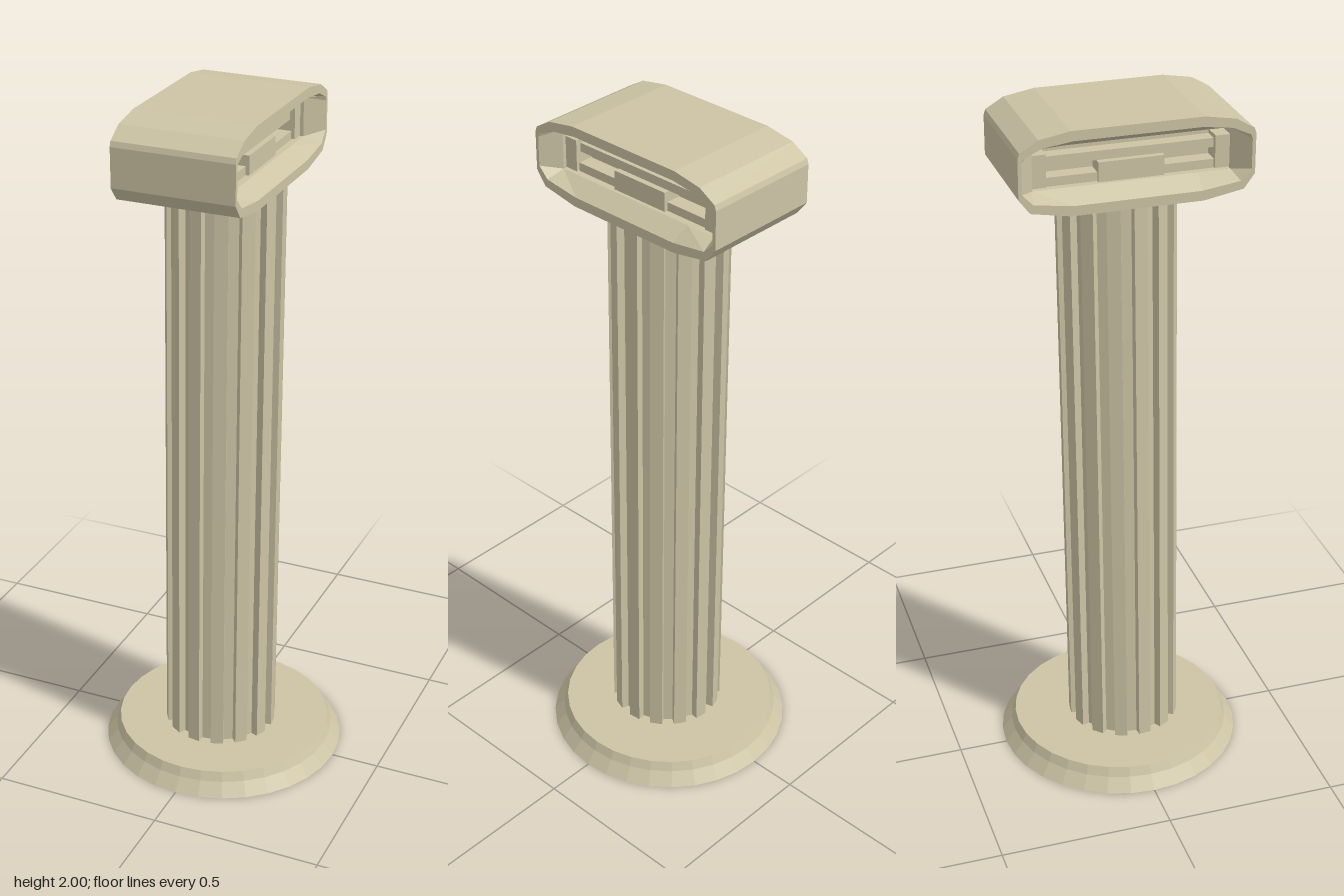
import * as THREE from 'three';

const stone = new THREE.MeshStandardMaterial({ color: 0xcdc4a5, flatShading: true });

function add(parent, name, geometry, x = 0, y = 0, z = 0) {
  const mesh = new THREE.Mesh(geometry, stone);
  mesh.name = name;
  mesh.position.set(x, y, z);
  parent.add(mesh);
  return mesh;
}

// Skin a sequence of closed rings that all have the same number of points.
function loft(rings) {
  const out = [];
  for (let i = 0; i < rings.length - 1; i++) {
    const a = rings[i], b = rings[i + 1], n = a.length;
    for (let j = 0; j < n; j++) {
      const k = (j + 1) % n;
      out.push(...a[j], ...a[k], ...b[j], ...a[k], ...b[k], ...b[j]);
    }
  }
  const g = new THREE.BufferGeometry();
  g.setAttribute('position', new THREE.Float32BufferAttribute(out, 3));
  g.computeVertexNormals();
  return g;
}

// Fluted shaft: square-cut ridges and grooves, leaning slightly backwards.
function shaftGeometry(bottom, top, ridges) {
  const pts = [];
  const step = (Math.PI * 2) / ridges;
  for (let i = 0; i < ridges; i++) {
    [[0.0, 0.165], [0.5, 0.165], [0.53, 0.143], [0.97, 0.143]].forEach(([t, r]) => {
      const a = (i + t) * step;
      pts.push(new THREE.Vector2(r * Math.cos(a), r * Math.sin(a)));
    });
  }
  const height = top - bottom;
  const g = new THREE.ExtrudeGeometry(new THREE.Shape(pts), { depth: height, bevelEnabled: false });
  g.rotateX(-Math.PI / 2);
  const p = g.attributes.position;
  for (let i = 0; i < p.count; i++) {
    const t = p.getY(i) / height;
    p.setX(i, p.getX(i) - 0.004 + 0.008 * t);
    p.setZ(i, p.getZ(i) + 0.014 - 0.02 * t);
  }
  g.computeVertexNormals();
  return g;
}

// Capital shell: a rounded band along x whose ends flare into recesses.
function capitalShell(mid, half) {
  const side = [[0.18, 2.0], [0.265, 1.985], [0.315, 1.955], [0.32, 1.94],
    [0.32, 1.83], [0.29, 1.79], [0.18, 1.77]];
  const outline = [...side, ...side.map(([z, y]) => [-z, y]).reverse()];
  const clamp = THREE.MathUtils.clamp;
  const outer = (x) => outline.map(([z, y]) => [x, y, z]);
  const mouth = (x) => outline.map(([z, y]) => [x, 1.885 + (y - 1.885) * 0.76, z * 0.97]);
  const deep = (x) => outline.map(([z, y]) => [x, clamp(y, 1.83, 1.945), clamp(z, -0.27, 0.27)]);
  const l = mid - half, r = mid + half;
  return loft([deep(l + 0.12), deep(l + 0.05), mouth(l), outer(l),
    outer(r), mouth(r), deep(r - 0.05), deep(r - 0.12)]);
}

export function createModel() {
  const model = new THREE.Group();
  model.name = 'column';

  // Round plinth with a sloping foot
  const profile = [[0, 0], [0.357, 0], [0.328, 0.038], [0.316, 0.065], [0, 0.065]]
    .map(([r, y]) => new THREE.Vector2(r, y));
  add(model, 'base', new THREE.LatheGeometry(profile, 32));

  add(model, 'shaft', shaftGeometry(0.06, 1.78, 14), 0, 0.06, 0);

  // Capital
  const capital = new THREE.Group();
  capital.name = 'capital';
  model.add(capital);
  const mid = -0.003, half = 0.174;
  add(capital, 'capitalShell', capitalShell(mid, half));
  add(capital, 'capitalCore', new THREE.BoxGeometry(0.12, 0.13, 0.56), mid, 1.887, 0);

  // Squared scroll pattern in both recesses: [z centre, y centre, z size, y size, inset]
  const bars = [
    [0, 1.898, 0.46, 0.025, 0.075],
    [0, 1.857, 0.18, 0.055, 0.06],
  ];
  for (const s of [1, -1]) {
    bars.push([s * 0.25, 1.877, 0.04, 0.09, 0.06], [s * 0.16, 1.842, 0.14, 0.025, 0.07]);
  }
  for (const end of [1, -1]) {
    for (const [z, y, dz, dy, inset] of bars) {
      const depth = half - inset - 0.05;
      add(capital, 'scrollBar', new THREE.BoxGeometry(depth, dy, dz),
        mid + end * (0.05 + depth / 2), y, z);
    }
  }
  return model;
}
